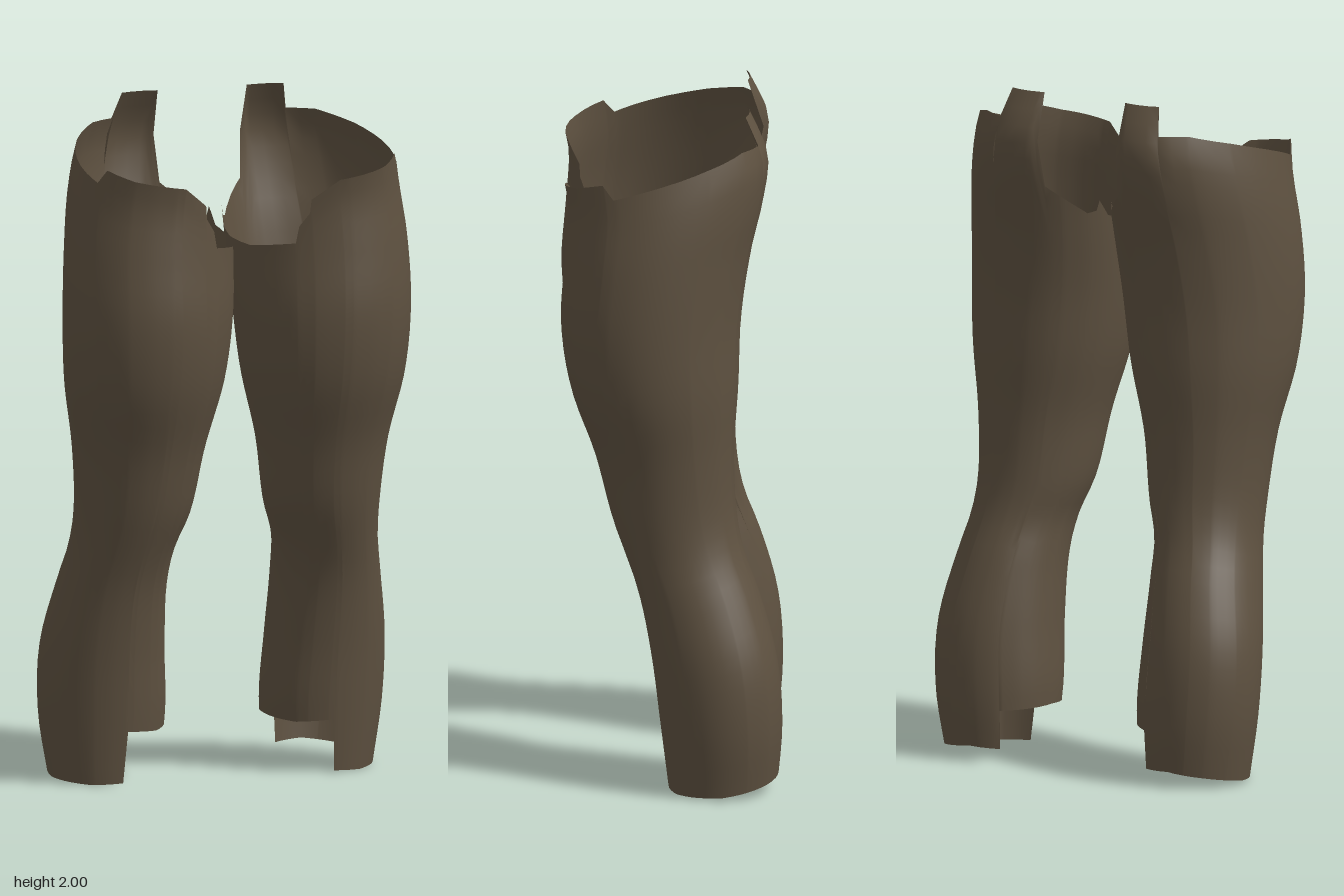
import * as THREE from 'three';

// Leg cross-sections: height, inner x, outer x, front z, back z, x skew toward the front
const sections = [
  [0.00, 0.175, 0.490, 0.010, -0.305, 0.00],
  [0.20, 0.155, 0.520, 0.035, -0.320, -0.01],
  [0.40, 0.165, 0.520, 0.060, -0.305, -0.01],
  [0.60, 0.170, 0.485, 0.100, -0.250, 0.00],
  [0.70, 0.160, 0.465, 0.135, -0.212, 0.00],
  [0.80, 0.125, 0.460, 0.172, -0.190, 0.00],
  [1.00, 0.090, 0.475, 0.225, -0.180, 0.00],
  [1.20, 0.040, 0.510, 0.295, -0.192, 0.01],
  [1.40, 0.015, 0.520, 0.323, -0.200, 0.02],
  [1.60, 0.005, 0.510, 0.310, -0.230, 0.03],
  [1.75, 0.002, 0.490, 0.302, -0.265, 0.03],
  [1.88, 0.000, 0.465, 0.325, -0.277, 0.03],
  [2.00, 0.000, 0.430, 0.310, -0.225, 0.03],
];

// Ragged rims: angle in degrees (0 = outer side, 90 = front), height
const topRim = [
  [0, 1.855], [31, 1.81], [37, 1.85], [60, 1.825], [98, 1.80], [117, 1.74], [118.5, 1.70],
  [126, 1.66], [129, 1.61], [162, 1.59], [185, 1.60], [203, 1.62], [209, 1.67], [212, 1.64],
  [219, 1.635], [247, 1.725], [257, 2.0], [287, 2.0], [288, 1.92], [308, 1.92], [335, 1.89], [360, 1.855],
];
const bottomRim = [
  [0, 0.012], [60, 0.002], [92.5, 0.006], [93.5, 0.16], [130, 0.152], [180, 0.165], [237, 0.16],
  [238, 0.045], [270, 0.05], [310, 0.035], [360, 0.012],
];

// Linear lookup along a rim
function rimHeight(rim, angle) {
  const i = Math.max(1, rim.findIndex((p) => p[0] >= angle));
  const [a0, y0] = rim[i - 1], [a1, y1] = rim[i];
  return y0 + (y1 - y0) * (angle - a0) / (a1 - a0);
}

// Smooth interpolation between cross-sections
const profile = new THREE.CubicInterpolant(
  sections.map((s) => s[0]), sections.flatMap((s) => s.slice(1)), 5);

function legPoint(angle, y, side) {
  const [xi, xo, zf, zb, skew] = profile.evaluate(THREE.MathUtils.clamp(y, 0, 1.9999));
  const a = THREE.MathUtils.degToRad(angle), c = Math.cos(a), s = Math.sin(a);
  // the skew fades at the sides, keeping the leg widths exact
  const x = (xi + xo) / 2 + (xo - xi) / 2 * c + skew * s;
  return [side * x, y, (zf + zb) / 2 + (zf - zb) / 2 * s];
}

function legGeometry(side) {
  // Regular columns plus one at every corner of the rims
  const angles = new Set();
  for (let i = 0; i < 40; i++) angles.add(i * 9);
  [...topRim, ...bottomRim].forEach(([a]) => angles.add(a % 360));
  const columns = [...angles].sort((a, b) => a - b);
  const rows = 40, positions = [], index = [];
  for (const a of columns) {
    const bottom = rimHeight(bottomRim, a), top = rimHeight(topRim, a);
    for (let j = 0; j <= rows; j++) {
      positions.push(...legPoint(a, bottom + (top - bottom) * j / rows, side));
    }
  }
  for (let i = 0; i < columns.length; i++) {
    const p = i * (rows + 1), q = ((i + 1) % columns.length) * (rows + 1);
    for (let j = 0; j < rows; j++) {
      const a = p + j, b = p + j + 1, c = q + j, d = q + j + 1;
      if (side > 0) index.push(a, b, c, b, d, c);
      else index.push(a, c, b, b, c, d);
    }
  }
  const geometry = new THREE.BufferGeometry();
  geometry.setAttribute('position', new THREE.Float32BufferAttribute(positions, 3));
  geometry.setIndex(index);
  geometry.computeVertexNormals();
  return geometry;
}

export function createModel() {
  const cloth = new THREE.MeshStandardMaterial({ color: 0x5e5140, side: THREE.DoubleSide });
  cloth.name = 'brown cloth';
  const model = new THREE.Group();
  model.name = 'trouserLegs';
  // Mirrored pair of open legs
  for (const [name, side] of [['leftLeg', 1], ['rightLeg', -1]]) {
    const leg = new THREE.Mesh(legGeometry(side), cloth);
    leg.name = name;
    model.add(leg);
  }
  return model;
}
